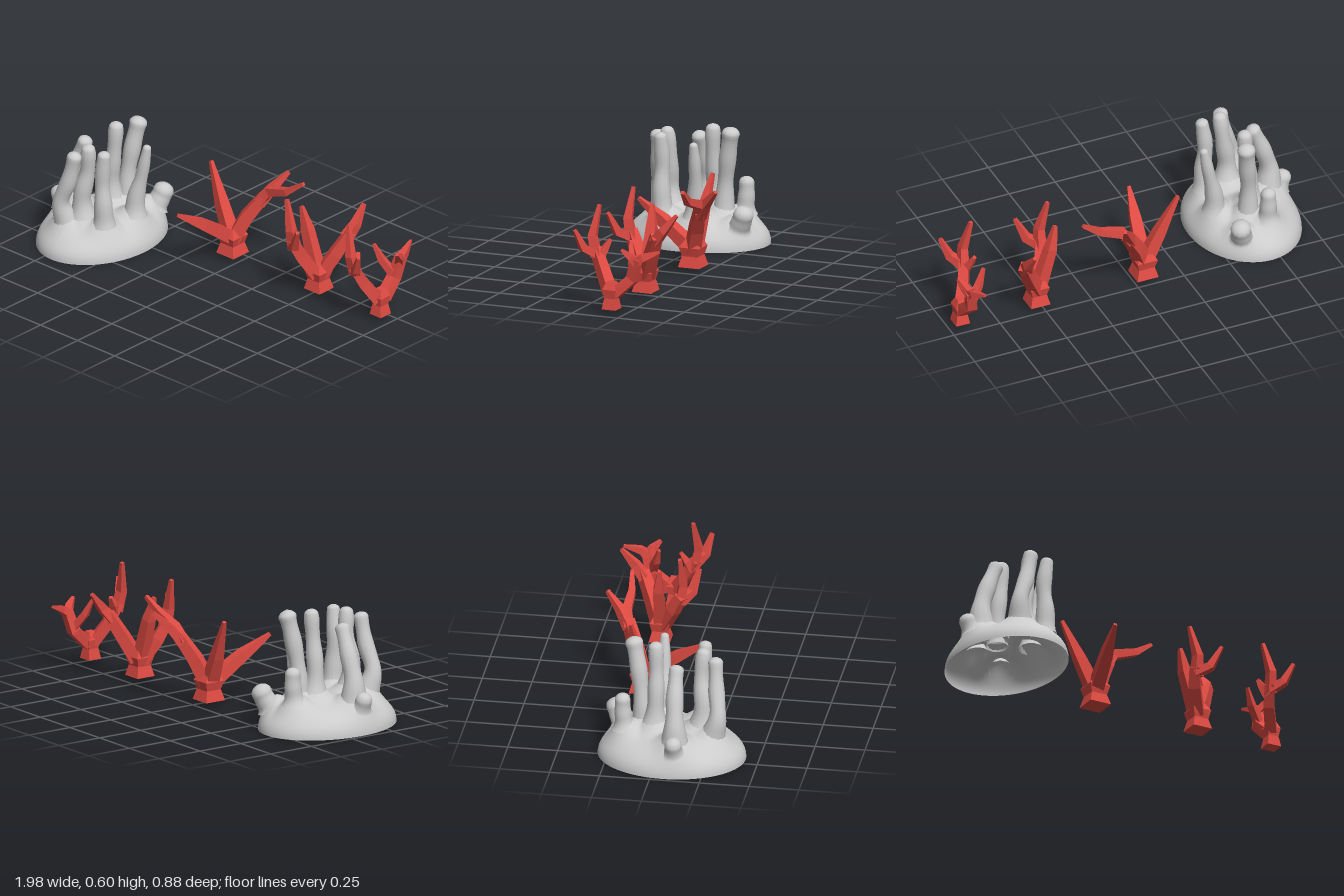
import * as THREE from 'three';

const grey = new THREE.MeshStandardMaterial({ color: 0xcccccc, side: THREE.DoubleSide });
const red = new THREE.MeshStandardMaterial({ color: 0xdd4a42, flatShading: true });
const V = (p) => new THREE.Vector3(...p);

// Skins rings of the given radii along a list of points and closes the far end
function loft(pts, radii, sides, phase = 0) {
  const pos = [], idx = [];
  const span = pts[pts.length - 1].clone().sub(pts[0]);
  const ref = new THREE.Vector3(-span.z, 0, span.x);
  if (ref.length() < 0.02) ref.set(1, 0, 0);
  pts.forEach((p, i) => {
    const t = pts[Math.min(i + 1, pts.length - 1)].clone().sub(pts[Math.max(i - 1, 0)]).normalize();
    const s = ref.clone().addScaledVector(t, -ref.dot(t)).normalize();
    const n = t.clone().cross(s);
    for (let j = 0; j < sides; j++) {
      const a = phase + (j / sides) * Math.PI * 2;
      const q = p.clone().addScaledVector(s, Math.cos(a) * radii[i]).addScaledVector(n, Math.sin(a) * radii[i]);
      pos.push(q.x, q.y, q.z);
      if (i > 0) {
        const k = (j + 1) % sides, A = (i - 1) * sides, B = i * sides;
        idx.push(A + j, A + k, B + k, A + j, B + k, B + j);
      }
    }
  });
  const last = (pts.length - 1) * sides, end = pts[pts.length - 1];
  pos.push(end.x, end.y, end.z);
  for (let j = 0; j < sides; j++) idx.push(last + sides, last + j, last + ((j + 1) % sides));
  const g = new THREE.BufferGeometry();
  g.setAttribute('position', new THREE.Float32BufferAttribute(pos, 3));
  g.setIndex(idx);
  g.computeVertexNormals();
  return g;
}

function add(parent, name, geometry, material) {
  const mesh = new THREE.Mesh(geometry, material);
  mesh.name = name;
  parent.add(mesh);
}

// Fingers: foot x and z, points up to the tip, lower radius, tip radius
const FINGERS = [
  [[-0.745, 0.28], [[-0.757, 0.25, 0.303], [-0.715, 0.38, 0.29], [-0.68, 0.54, 0.28]], 0.043, 0.036],
  [[-0.69, 0.215], [[-0.69, 0.28, 0.22], [-0.665, 0.42, 0.208], [-0.65, 0.57, 0.218]], 0.048, 0.035],
  [[-0.56, 0.2], [[-0.56, 0.28, 0.207], [-0.568, 0.4, 0.205], [-0.55, 0.562, 0.21]], 0.045, 0.034],
  [[-0.865, 0.105], [[-0.868, 0.25, 0.105], [-0.83, 0.38, 0.1], [-0.77, 0.528, 0.1]], 0.05, 0.036],
  [[-0.71, -0.02], [[-0.71, 0.3, -0.015], [-0.69, 0.45, -0.015], [-0.68, 0.6, -0.02]], 0.042, 0.036],
  [[-0.53, 0.01], [[-0.525, 0.25, 0.005], [-0.495, 0.38, -0.005], [-0.462, 0.548, -0.01]], 0.047, 0.022],
  [[-0.67, -0.085], [[-0.67, 0.28, -0.09], [-0.655, 0.44, -0.11], [-0.635, 0.6, -0.14]], 0.038, 0.044],
  [[-0.74, -0.165], [[-0.74, 0.25, -0.175], [-0.74, 0.335, -0.175]], 0.045, 0.037],
  [[-0.585, -0.2], [[-0.567, 0.165, -0.23], [-0.555, 0.22, -0.25]], 0.05, 0.052],
  [[-0.92, 0.11], [[-0.94, 0.155, 0.11], [-0.958, 0.205, 0.11]], 0.045, 0.04],
];

// Height of the mound, swelling up around every finger
function moundY(x, z) {
  const r = Math.min(1, Math.hypot((x + 0.7) / 0.285, (z - 0.065) / 0.37));
  const swell = Math.max(...FINGERS.map(([[fx, fz]]) => Math.exp(-((x - fx) ** 2 + (z - fz) ** 2) / 0.0055)));
  return 0.155 * Math.pow(1 - Math.pow(r, 2.4), 0.45) + 0.075 * swell * (1 - Math.pow(r, 6));
}

// Rounded, slightly lumpy finger growing from a swelling
function finger(parent, [[fx, fz], path, r0, r1], seed) {
  const foot = [fx, moundY(fx, fz) - 0.05, fz];
  const curve = new THREE.CatmullRomCurve3([foot, ...path].map(V));
  const lump = Math.min(0.06, curve.getLength() * 0.15);
  const N = 18, pts = [], radii = [];
  for (let i = 0; i <= N; i++) {
    const u = i / N;
    pts.push(curve.getPointAt(u));
    const body = r1 + (r0 - r1) * (1 - u) + 0.02 * Math.exp(-u * 8);
    radii.push(body * (1 + lump * Math.sin(u * 14 + seed * 2)));
  }
  // dome-shaped tip
  const tip = pts.pop(), r = radii.pop(), dir = tip.clone().sub(pts[N - 1]).normalize();
  for (let k = 0; k <= 4; k++) {
    const a = (k / 4) * Math.PI / 2;
    pts.push(tip.clone().addScaledVector(dir, r * 0.7 * (Math.sin(a) - 1)));
    radii.push(Math.max(r * Math.cos(a), 0.002));
  }
  // keep ring order steady where the shaft meets the tip
  const cut = pts.length - 5;
  const keep = pts.map((p, i) => i >= cut || p.clone().sub(pts[cut]).dot(dir) < -0.004);
  add(parent, 'finger', loft(pts.filter((_, i) => keep[i]), radii.filter((_, i) => keep[i]), 12), grey);
}

function fingerCoral() {
  const group = new THREE.Group();
  group.name = 'fingerCoral';
  // hollow, open-bottomed mound
  const rim = Array.from({ length: 33 }, (_, i) => new THREE.Vector2(Math.max(Math.cos((i / 32) * Math.PI / 2), 0.001), 0));
  const mound = new THREE.LatheGeometry(rim, 72);
  mound.scale(0.285, 1, 0.37).translate(-0.7, 0, 0.065);
  const p = mound.attributes.position;
  for (let i = 0; i < p.count; i++) p.setY(i, moundY(p.getX(i), p.getZ(i)));
  mound.computeVertexNormals();
  add(group, 'mound', mound, grey);
  FINGERS.forEach((f, i) => finger(group, f, i));
  return group;
}

// Faceted branching coral: square pinched trunk and tapering four-sided branches
function branchCoral(x, width, branches) {
  const group = new THREE.Group();
  group.name = 'branchCoral';
  const k = width / Math.SQRT2, c = (y) => new THREE.Vector3(x, y, -0.19);
  add(group, 'trunk', loft([c(0.03), c(0.085), c(0.13), c(0.17)], [k, k * 0.74, k * 0.95, k * 0.5], 4, Math.PI / 4), red);
  add(group, 'trunkBase', new THREE.PlaneGeometry(width, width).rotateX(Math.PI / 2).translate(x, 0.03, -0.19), red);
  branches.forEach(([path, r0, r1 = 0.012]) => {
    const radii = path.map((_, i) => r0 + (r1 - r0) * Math.pow(i / (path.length - 1), 1.9));
    add(group, 'branch', loft(path.map(V), radii, 4, Math.PI / 4), red);
  });
  return group;
}

export function createModel() {
  const model = new THREE.Group();
  model.name = 'corals';
  model.add(fingerCoral());

  model.add(branchCoral(-0.055, 0.115, [
    [[[-0.06, 0.11, -0.19], [-0.135, 0.265, -0.2], [-0.228, 0.467, -0.22]], 0.048],
    [[[-0.06, 0.12, -0.18], [-0.09, 0.24, -0.01], [-0.122, 0.33, 0.135]], 0.048],
    [[[-0.05, 0.11, -0.19], [0.0, 0.23, -0.23], [0.07, 0.345, -0.28]], 0.048, 0.036],
    [[[0.05, 0.31, -0.27], [0.09, 0.385, -0.32], [0.135, 0.465, -0.395]], 0.036],
    [[[0.05, 0.31, -0.27], [0.1, 0.385, -0.29], [0.225, 0.425, -0.285], [0.322, 0.495, -0.3]], 0.036],
  ]));

  model.add(branchCoral(0.525, 0.105, [
    [[[0.52, 0.11, -0.18], [0.47, 0.22, -0.12], [0.445, 0.31, -0.075]], 0.045, 0.035],
    [[[0.46, 0.27, -0.085], [0.455, 0.37, -0.065], [0.415, 0.525, -0.077]], 0.036],
    [[[0.45, 0.28, -0.08], [0.51, 0.31, -0.03], [0.557, 0.415, 0.0]], 0.034],
    [[[0.515, 0.12, -0.19], [0.45, 0.33, -0.19], [0.42, 0.45, -0.18]], 0.044],
    [[[0.53, 0.11, -0.2], [0.585, 0.22, -0.245], [0.64, 0.34, -0.3]], 0.045, 0.036],
    [[[0.625, 0.31, -0.285], [0.64, 0.37, -0.335], [0.632, 0.455, -0.405]], 0.037],
  ]));

  model.add(branchCoral(0.94, 0.075, [
    [[[0.935, 0.11, -0.18], [0.89, 0.21, -0.12], [0.865, 0.31, -0.07]], 0.04, 0.032],
    [[[0.875, 0.27, -0.08], [0.865, 0.37, -0.055], [0.83, 0.525, -0.077]], 0.034],
    [[[0.87, 0.28, -0.08], [0.925, 0.32, -0.03], [0.965, 0.415, -0.003]], 0.032],
    [[[0.87, 0.25, -0.09], [0.85, 0.31, -0.115], [0.84, 0.355, -0.14]], 0.028],
    [[[0.94, 0.11, -0.21], [0.93, 0.19, -0.3], [0.95, 0.3, -0.33]], 0.04, 0.032],
    [[[0.945, 0.28, -0.325], [0.945, 0.305, -0.36], [0.915, 0.335, -0.44]], 0.032, 0.008],
    [[[0.94, 0.27, -0.325], [0.965, 0.31, -0.3], [0.985, 0.345, -0.263]], 0.03, 0.01],
    [[[0.935, 0.2, -0.3], [0.875, 0.28, -0.27], [0.84, 0.36, -0.25]], 0.028, 0.01],
  ]));
  return model;
}
